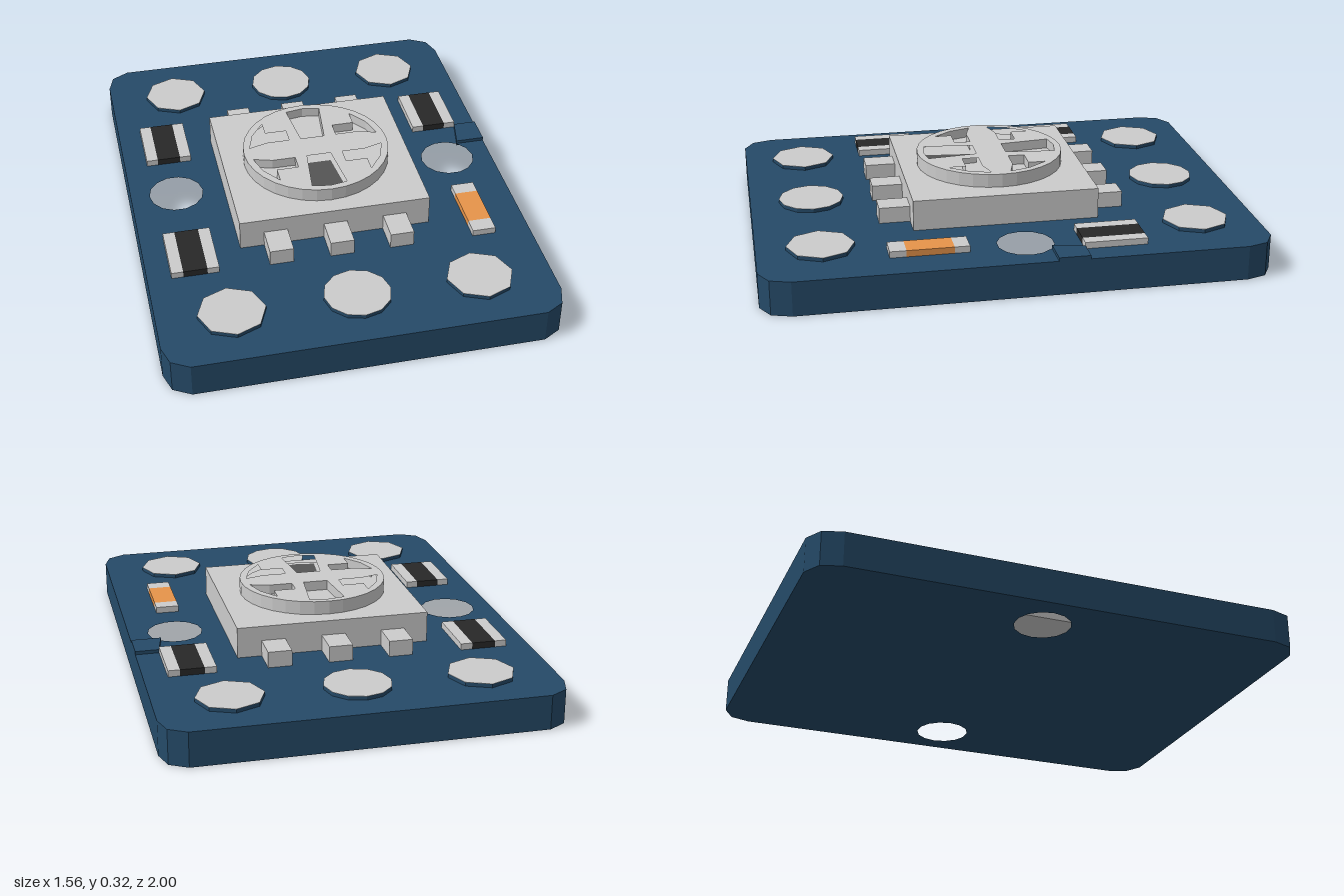
import * as THREE from 'three';

const mat = (color) => new THREE.MeshStandardMaterial({ color, flatShading: true });
const grey = mat(0xcccccc), blue = mat(0x254a68), black = mat(0x282828);
const orange = mat(0xe6944a), darkGrey = mat(0x555555);

const TOP = 0.14; // upper face of the board

// points are [x, z] in plan
const toVec = (pts) => pts.map(([x, z]) => new THREE.Vector2(x, -z));
const ring = (cx, cz, r, n) => Array.from({ length: n }, (_, i) => {
  const a = (i / n) * Math.PI * 2;
  return [cx + r * Math.cos(a), cz + r * Math.sin(a)];
});

// upright slab from a plan outline, with optional holes
function slab(outline, holes, y0, y1) {
  const shape = new THREE.Shape(toVec(outline));
  holes.forEach((h) => shape.holes.push(new THREE.Path(toVec(h))));
  const geo = new THREE.ExtrudeGeometry(shape, { depth: y1 - y0, bevelEnabled: false });
  return geo.rotateX(-Math.PI / 2).translate(0, y0, 0);
}

export function createModel() {
  const model = new THREE.Group();
  const add = (name, geo, material, parent = model) => {
    const mesh = new THREE.Mesh(geo, material);
    mesh.name = name;
    parent.add(mesh);
    return mesh;
  };
  const block = (name, x0, x1, y0, y1, z0, z1, material, parent) => add(name,
    new THREE.BoxGeometry(x1 - x0, y1 - y0, z1 - z0)
      .translate((x0 + x1) / 2, (y0 + y1) / 2, (z0 + z1) / 2), material, parent);

  // board with clipped corners and two mounting holes
  const corner = [[0.78, 0.88], [0.755, 0.96], [0.685, 1]];
  const flip = (sx, sz) => corner.map(([x, z]) => [x * sx, z * sz]);
  const outline = [...flip(1, 1), ...flip(-1, 1).reverse(), ...flip(-1, -1), ...flip(1, -1).reverse()];
  add('board', slab(outline, [-0.59, 0.59].map((x) => ring(x, -0.035, 0.112, 14)), 0, TOP), blue);

  // raised tab at the left edge
  add('edgeTab', slab([[0.685, -0.25], [0.78, -0.25], [0.78, -0.125], [0.66, -0.125]], [], TOP - 0.01, 0.154), blue);

  // solder pads: blue rims with grey faces
  for (const z of [-0.75, 0.75]) {
    for (const x of [-0.49, 0, 0.49]) {
      const pad = new THREE.Group();
      pad.name = 'solderPad';
      const n = x === 0 ? 12 : 8;
      add('padRim', new THREE.CylinderGeometry(0.133, 0.133, 0.025, n), blue, pad).position.y = TOP + 0.0025;
      add('padFace', new THREE.CylinderGeometry(0.133, 0.133, 0.001, n), grey, pad).position.y = TOP + 0.0155;
      pad.position.set(x, 0, z);
      model.add(pad);
    }
  }

  // resistors: black body between two grey terminals
  for (const [x, z] of [[-0.59, -0.375], [0.59, -0.375], [-0.59, 0.375]]) {
    const part = new THREE.Group();
    part.name = 'resistor';
    block('resistorBody', -0.048, 0.048, 0, 0.026, -0.125, 0.125, black, part);
    for (const s of [-1, 1]) {
      block('resistorTerminal', s * 0.0715 - 0.0235, s * 0.0715 + 0.0235, 0, 0.026, -0.125, 0.125, grey, part);
    }
    part.position.set(x, TOP, z);
    model.add(part);
  }

  // capacitor: orange body between grey terminals
  const cap = new THREE.Group();
  cap.name = 'capacitor';
  block('capacitorBody', 0.54, 0.635, TOP, 0.166, 0.25, 0.435, orange, cap);
  block('capacitorTerminal', 0.54, 0.635, TOP, 0.166, 0.19, 0.25, grey, cap);
  block('capacitorTerminal', 0.54, 0.635, TOP, 0.166, 0.435, 0.5, grey, cap);
  model.add(cap);

  // square component housing and its pins
  block('housing', -0.39, 0.39, TOP, 0.265, -0.375, 0.375, grey);
  for (const s of [-1, 1]) {
    for (const x of [-0.245, 0, 0.245]) {
      block('pin', x - 0.048, x + 0.048, TOP, 0.205, s * 0.4375 - 0.0625, s * 0.4375 + 0.0625, grey);
    }
  }

  // round dial with recessed slots
  const wedge = [[0.05, 0.062], [0.072, 0.265], [0, 0.277], [-0.072, 0.265], [-0.05, 0.062]];
  const notch = [[0.19, 0.2], [0.19, 0.13], [0.1, 0.13], [0.1, 0.063], [0.195, 0.063], [0.272, 0.04], [0.245, 0.125]];
  const slots = [wedge, wedge.map(([x, z]) => [x, -z])];
  for (const sx of [-1, 1]) {
    for (const sz of [-1, 1]) slots.push(notch.map(([x, z]) => [x * sx, z * sz]));
  }
  const rim = ring(0, 0, 0.303, 32);
  add('dialBase', slab(rim, [], 0.265, 0.28), grey);
  add('dialTop', slab(rim, slots, 0.28, 0.32), grey);
  add('dialPointer', slab(wedge, [], 0.279, 0.282), darkGrey);

  return model;
}
